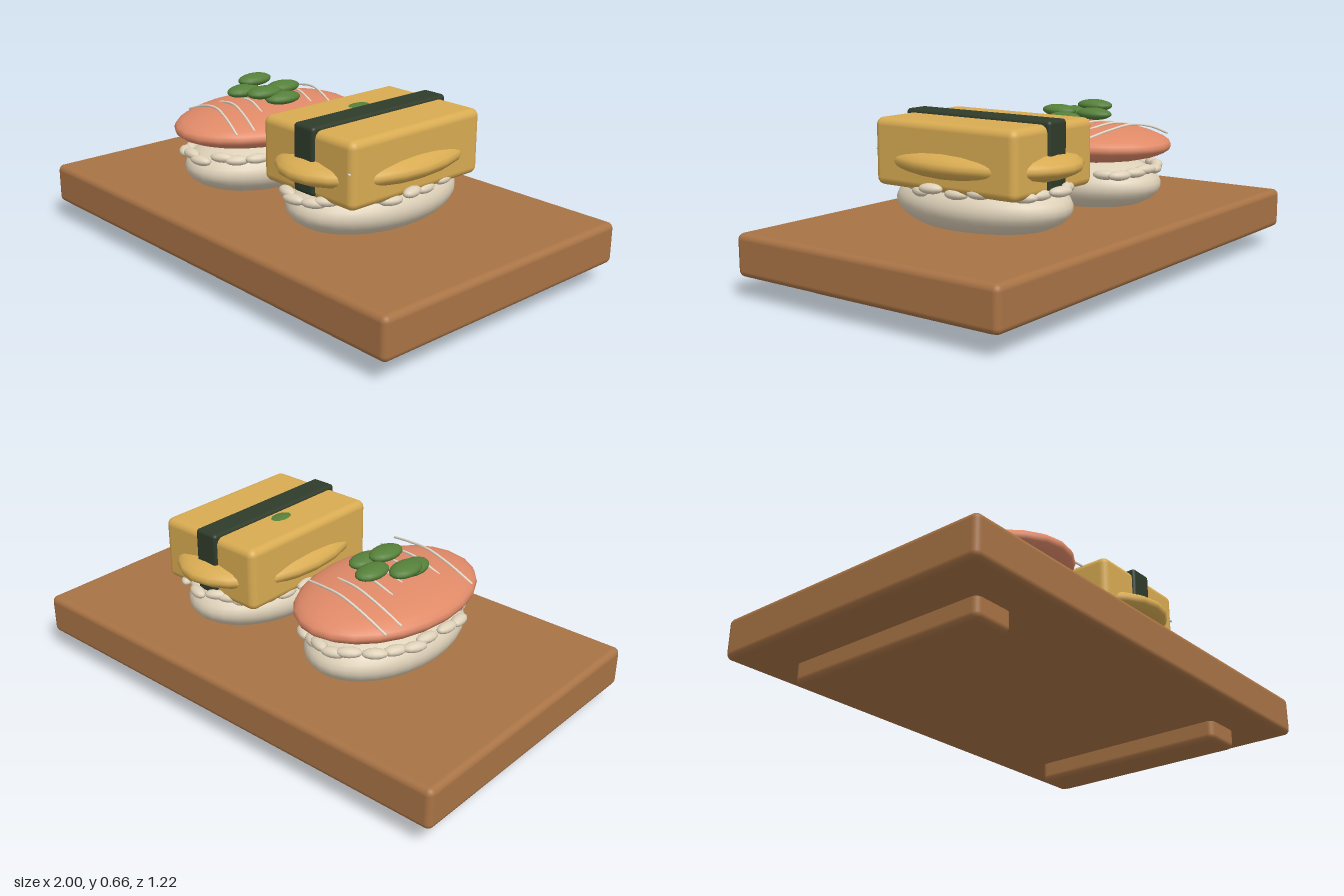
import * as THREE from 'three';
import { RoundedBoxGeometry } from 'three/addons/geometries/RoundedBoxGeometry.js';

const mat = (name, color) => {
  const m = new THREE.MeshStandardMaterial({ color });
  m.name = name;
  return m;
};

export function createModel() {
  const wood = mat('wood', 0xa87345);
  const rice = mat('rice', 0xddd0b8);
  const salmon = mat('salmon', 0xe08a68);
  const egg = mat('egg', 0xd8ab52);
  const seaweed = mat('seaweed', 0x2f3b2a);
  const herb = mat('herb green', 0x55803a);
  const sauce = mat('pale sauce', 0xe6dfd0);

  const add = (parent, name, geometry, material, x, y, z) => {
    const m = new THREE.Mesh(geometry, material);
    m.name = name;
    m.position.set(x, y, z);
    parent.add(m);
    return m;
  };
  const box = (parent, name, material, size, pos, r) =>
    add(parent, name, new RoundedBoxGeometry(...size, 4, r), material, ...pos);
  const ellipsoid = (parent, name, material, radii, pos, seg = 24) =>
    add(parent, name, new THREE.SphereGeometry(1, seg, Math.round(seg * 0.67)).scale(...radii), material, ...pos);

  // small seeded generator for the scattered grains
  let seed = 7;
  const rand = () => (seed = (seed * 16807) % 2147483647) / 2147483647;

  const model = new THREE.Group();
  model.name = 'sushiBoard';

  // serving board on two rails
  box(model, 'board', wood, [2, 0.165, 1.22], [0, 0.1625, 0], 0.025);
  for (const s of [-1, 1]) {
    box(model, s > 0 ? 'leftFoot' : 'rightFoot', wood, [0.175, 0.12, 0.885], [s * 0.72, 0.06, 0], 0.025);
  }

  // rice, topping, sauce lines and herb leaves shared by both pieces
  const makePiece = (name, x, topping) => {
    const g = new THREE.Group();
    g.name = name;
    g.position.x = x;
    model.add(g);

    ellipsoid(g, 'riceBed', rice, [0.25, 0.125, 0.38], [0, 0.33, 0], 32);
    const grains = new THREE.Group();
    grains.name = 'riceGrains';
    g.add(grains);
    const count = 24;
    for (let i = 0; i < count; i++) {
      const a = ((i + rand() * 0.5) / count) * Math.PI * 2;
      const spread = 0.92 + rand() * 0.12;
      const grain = ellipsoid(grains, 'grain', rice, [0.026, 0.02, 0.05],
        [Math.cos(a) * 0.245 * spread, 0.385 + rand() * 0.025, Math.sin(a) * 0.365 * spread], 12);
      grain.rotation.y = Math.atan2(-Math.sin(a) * 0.245, Math.cos(a) * 0.365) + (rand() - 0.5) * 0.7;
    }

    ellipsoid(g, 'topping', topping, [0.29, 0.082, 0.42], [0, 0.49, 0]);

    // thin sauce lines arching across the topping
    for (let i = 0; i < 7; i++) {
      const z = -0.295 + i * 0.086;
      const curve = new THREE.CatmullRomCurve3([
        [-0.235, 0.517, 0], [-0.12, 0.556, 0.012], [0, 0.574, 0.035], [0.115, 0.557, 0.07], [0.23, 0.528, 0.112],
      ].map(([px, py, pz]) => new THREE.Vector3(px, py, z + pz)));
      add(g, 'sauceLine', new THREE.TubeGeometry(curve, 20, 0.005, 6), sauce, 0, 0, 0);
    }

    // herb leaves
    for (const [px, py, pz, turn] of [
      [-0.1, 0.628, -0.02, 0.05], [0.005, 0.606, -0.085, 0], [0.1, 0.592, -0.005, -0.1],
      [-0.075, 0.598, 0.06, 0.1], [0.055, 0.616, 0.055, -0.05],
    ]) {
      ellipsoid(g, 'leaf', herb, [0.05, 0.025, 0.08], [px, py, pz], 16).rotation.y = turn;
    }
    return g;
  };

  makePiece('salmonPiece', -0.315, salmon);
  const eggPiece = makePiece('eggPiece', 0.315, egg);

  // omelette block held by a seaweed band
  box(eggPiece, 'omelette', egg, [0.486, 0.257, 0.666], [-0.004, 0.519, 0], 0.03);
  box(eggPiece, 'seaweedBand', seaweed, [0.108, 0.26, 0.69], [-0.006, 0.532, 0], 0.015);

  return model;
}
